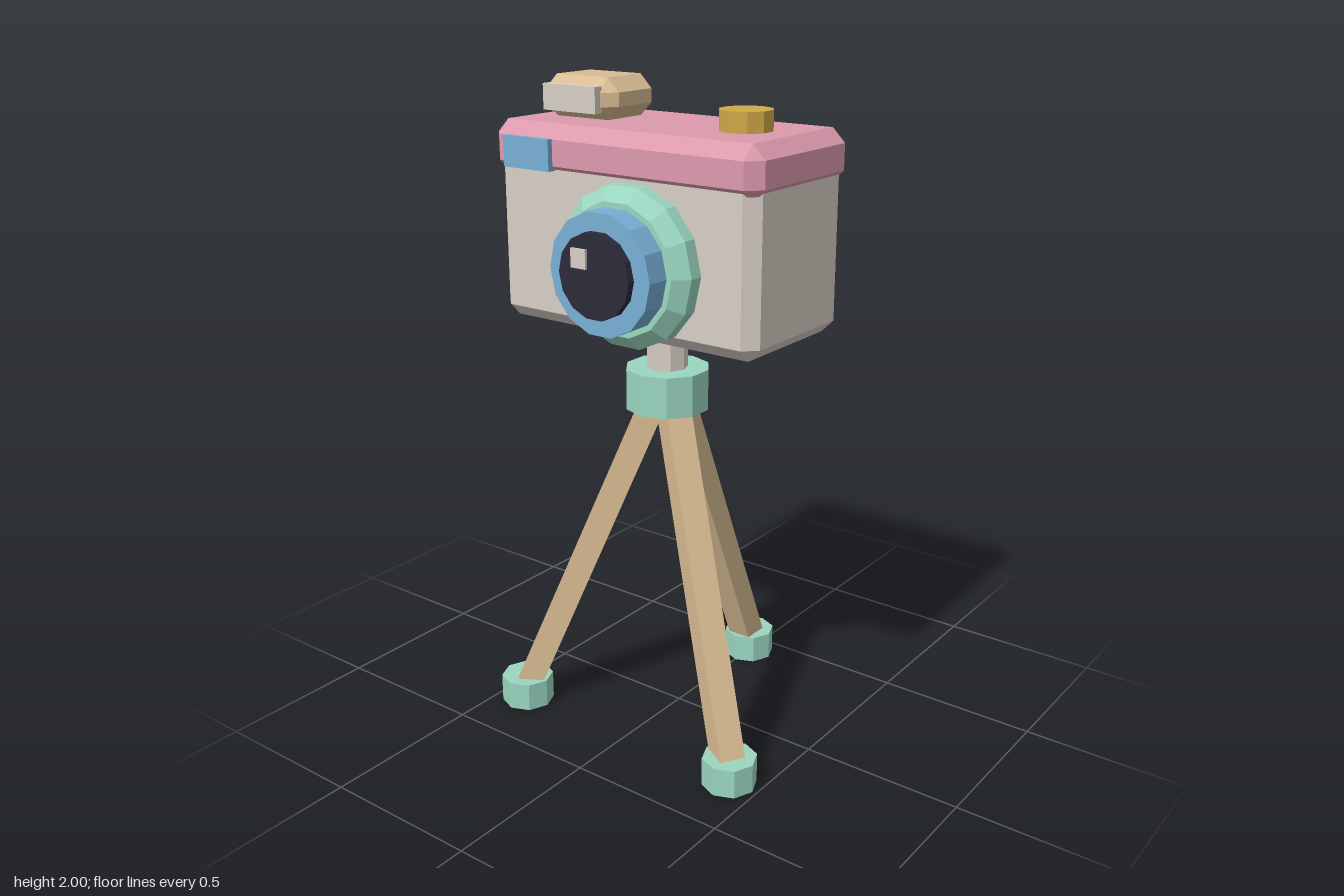
import * as THREE from 'three';
import { ConvexGeometry } from 'three/addons/geometries/ConvexGeometry.js';

const mat = (name, color) => {
  const m = new THREE.MeshStandardMaterial({ color, flatShading: true });
  m.name = name;
  return m;
};

// Box with every edge cut off at 45 degrees
function chamferBox(w, h, d, c) {
  const pts = [];
  for (const x of [-1, 1]) for (const y of [-1, 1]) for (const z of [-1, 1]) {
    const X = w / 2, Y = h / 2, Z = d / 2;
    pts.push(
      new THREE.Vector3(x * X, y * (Y - c), z * (Z - c)),
      new THREE.Vector3(x * (X - c), y * Y, z * (Z - c)),
      new THREE.Vector3(x * (X - c), y * (Y - c), z * Z));
  }
  return new ConvexGeometry(pts);
}

export function createModel() {
  const cream = mat('cream', 0xd8cfc6);
  const pink = mat('pink', 0xdc9aad);
  const mint = mat('mint', 0x9ad6c0);
  const tan = mat('tan', 0xd9bc93);
  const blue = mat('blue', 0x78b0d6);
  const dark = mat('dark glass', 0x2c2a3a);
  const gold = mat('gold', 0xcfa848);

  const model = new THREE.Group();
  model.name = 'cameraOnTripod';
  const add = (name, geo, material, x = 0, y = 0, z = 0) => {
    const mesh = new THREE.Mesh(geo, material);
    mesh.name = name;
    mesh.position.set(x, y, z);
    model.add(mesh);
    return mesh;
  };
  const cyl = (r, h, n) => new THREE.CylinderGeometry(r, r, h, n);
  const box = (w, h, d) => new THREE.BoxGeometry(w, h, d);
  const CZ = 0.058; // tripod axis

  // Camera body and lid
  add('body', chamferBox(0.908, 0.52, 0.454, 0.038), cream, 0, 1.558, CZ);
  add('lid', chamferBox(0.93, 0.155, 0.474, 0.04), pink, 0, 1.803, CZ);
  add('frontPatch', box(0.17, 0.09, 0.03), blue, -0.309, 1.797, 0.297);

  // Viewfinder and dial on the lid
  add('viewfinder', chamferBox(0.271, 0.12, 0.23, 0.04), tan, -0.26, 1.94, 0.043);
  add('viewfinderWindow', box(0.195, 0.075, 0.03), cream, -0.26, 1.94, 0.163);
  add('dial', cyl(0.077, 0.07, 10), gold, 0.27, 1.903, CZ);

  // Lens: bevelled ring, barrel and glass, facing +z
  const LX = 0.077, LY = 1.527, N = 14;
  const ring = [[0, 0.28], [0.2, 0.283], [0.228, 0.31], [0.228, 0.352], [0.188, 0.387], [0, 0.387]]
    .map(([r, z]) => new THREE.Vector2(r, z));
  const facing = (geo) => geo.rotateX(Math.PI / 2).rotateZ(Math.PI / 2);
  add('lensRing', facing(new THREE.LatheGeometry(ring, N)), mint, LX, LY, 0);
  add('lensBarrel', facing(cyl(0.172, 0.09, N)), blue, LX, LY, 0.414);
  add('lensGlass', facing(cyl(0.12, 0.04, N)), dark, LX, LY, 0.462);
  add('lensGlint', box(0.051, 0.053, 0.009), cream, 0.032, 1.572, 0.486);

  // Tripod neck and collar
  add('neck', cyl(0.062, 0.17, 8), cream, 0, 1.235, CZ);
  add('collar', cyl(0.128, 0.125, 10), mint, 0, 1.1, CZ);

  // Three splayed square legs with round feet
  const topR = 0.03, topY = 1.08, footR = 0.463, footY = 0.05;
  const run = footR - topR, rise = topY - footY;
  for (let i = 0; i < 3; i++) {
    const pivot = new THREE.Group();
    pivot.name = 'tripodLeg' + (i + 1);
    pivot.position.z = CZ;
    pivot.rotation.y = Math.PI + (i * 2 * Math.PI) / 3;
    const leg = new THREE.Mesh(box(0.08, Math.hypot(run, rise), 0.08), tan);
    leg.name = 'leg';
    leg.position.set(0, (topY + footY) / 2, (topR + footR) / 2);
    leg.rotation.x = -Math.atan2(run, rise);
    const foot = new THREE.Mesh(cyl(0.083, 0.09, 8), mint);
    foot.name = 'foot';
    foot.position.set(0, 0.045, 0.466);
    foot.rotation.y = -pivot.rotation.y; // keep all feet aligned to the axes
    pivot.add(leg, foot);
    model.add(pivot);
  }
  return model;
}
